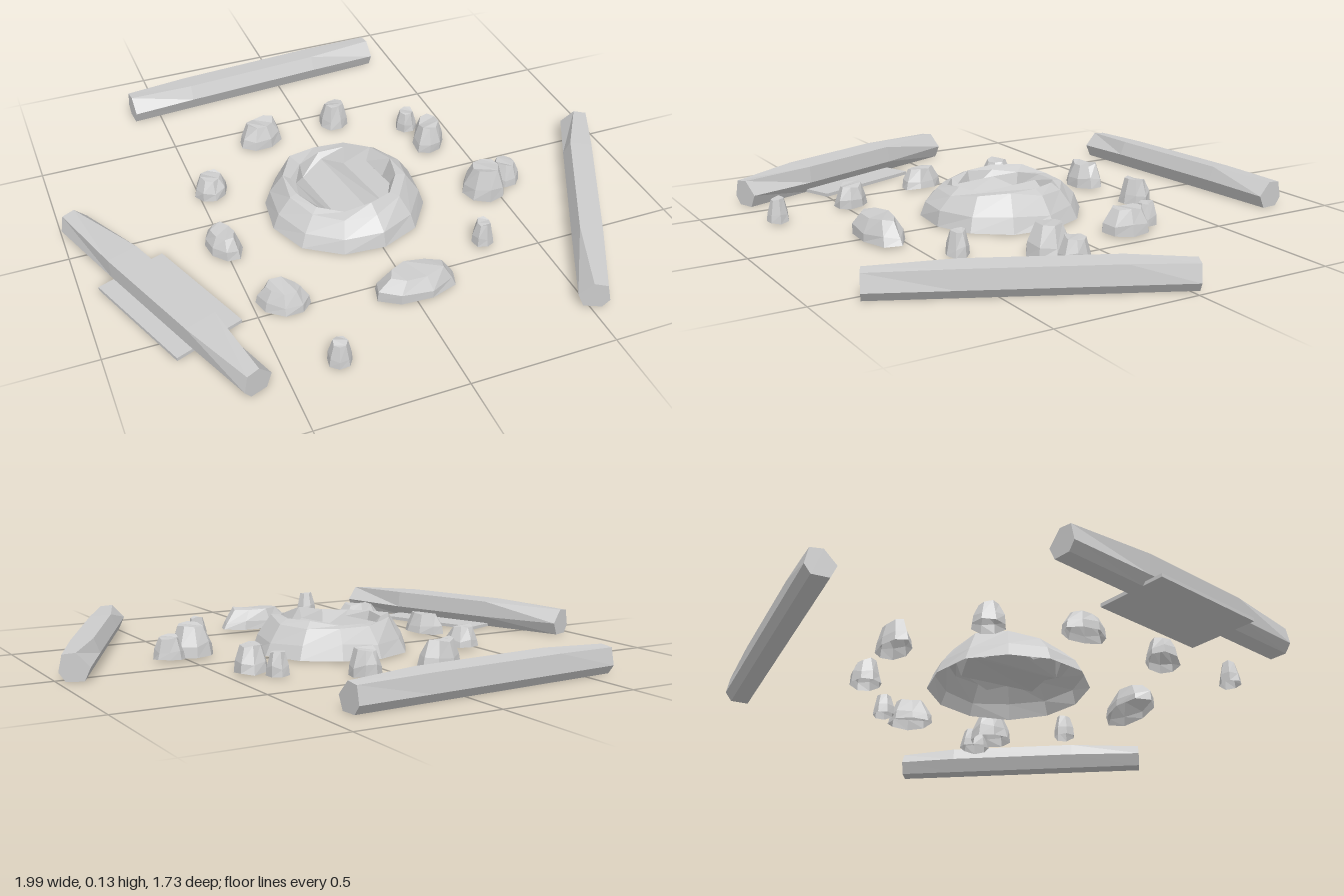
import * as THREE from 'three';

const stone = new THREE.MeshStandardMaterial({ color: 0xcccccc, side: THREE.DoubleSide });
stone.name = 'paleGrey';

// Seeded wobble in -1..1
let seed = 7;
const wobble = () => {
  seed = (seed * 16807) % 2147483647;
  return (seed / 2147483647) * 2 - 1;
};

// Joins rings of points into a faceted shell, with zigzag end caps
function loft(name, rings, capStart, capEnd) {
  const out = [];
  const tri = (...pts) => pts.forEach((p) => out.push(p.x, p.y, p.z));
  const n = rings[0].length;
  for (let i = 0; i < rings.length - 1; i++) {
    for (let j = 0; j < n; j++) {
      const k = (j + 1) % n;
      const [a, b, c, d] = [rings[i][j], rings[i][k], rings[i + 1][k], rings[i + 1][j]];
      tri(a, b, c);
      tri(a, c, d);
    }
  }
  const cap = (ring, flip) => {
    const strip = [0];
    for (let lo = 1, hi = n - 1; lo <= hi; lo++, hi--) {
      strip.push(lo);
      if (lo < hi) strip.push(hi);
    }
    for (let i = 0; i + 2 < n; i++) {
      const [a, b, c] = strip.slice(i, i + 3).map((s) => ring[s]);
      if ((i % 2 === 1) !== flip) tri(a, c, b);
      else tri(a, b, c);
    }
  };
  if (capStart) cap(rings[0], true);
  if (capEnd) cap(rings[rings.length - 1], false);
  const geometry = new THREE.BufferGeometry();
  geometry.setAttribute('position', new THREE.Float32BufferAttribute(out, 3));
  geometry.computeVertexNormals();
  const mesh = new THREE.Mesh(geometry, stone);
  mesh.name = name;
  return mesh;
}

// Hexagonal log between two ground points; its top is hewn flat between t1 and t2
const logEnd = [[-0.05, 0.045], [-0.03, 0], [0.03, 0], [0.052, 0.03], [0.04, 0.088], [-0.005, 0.093]];
const logMid = [[-0.053, 0.05], [-0.03, 0], [0.03, 0], [0.052, 0.03], [0.045, 0.093], [-0.032, 0.1]];
const logWide = [[-0.056, 0.04], [-0.03, 0], [0.03, 0], [0.056, 0.03], [0.06, 0.1], [-0.05, 0.1]];

function frame(a, b) {
  const dx = b[0] - a[0], dz = b[1] - a[1], len = Math.hypot(dx, dz);
  return (section, t) => section.map(([u, y]) => new THREE.Vector3(
    a[0] + dx * t + (u * dz) / len, y, a[1] + dz * t - (u * dx) / len));
}

function makeLog(name, a, b, mid, t1, t2) {
  const at = frame(a, b);
  return loft(name, [at(logEnd, 0), at(mid, t1), at(mid, t2), at(logEnd, 1)], true, true);
}

// Ring of points around a vertical axis
function ring(n, rx, rz, y, jitterR, jitterY) {
  return Array.from({ length: n }, (_, i) => {
    const a = ((i + 0.3) / n) * Math.PI * 2;
    const r = 1 + wobble() * jitterR;
    return new THREE.Vector3(Math.cos(a) * rx * r, y + wobble() * jitterY, -Math.sin(a) * rz * r);
  });
}

// Hollow, faceted rock
function makeRock([x, z, rx, rz, h, turn]) {
  const n = rx + rz < 0.09 ? 7 : 8;
  const rock = loft('rock', [
    ring(n, rx, rz, 0.006, 0.04, 0.004),
    ring(n, rx * 0.93, rz * 0.93, h * 0.4, 0.05, h * 0.08),
    ring(n, rx * 0.62, rz * 0.62, h * 0.92, 0.1, h * 0.07),
  ], false, true);
  rock.position.set(x, 0, z);
  rock.rotation.y = turn;
  return rock;
}

export function createModel() {
  const model = new THREE.Group();
  model.name = 'campfireCircle';

  // Logs to sit on
  model.add(makeLog('backLog', [-0.6, -0.75], [0.405, -0.818], logMid, 0.23, 0.74));
  model.add(makeLog('leftLog', [0.945, -0.04], [0.51, 0.84], logMid, 0.22, 0.72));
  const a = [-0.595, 0.8], b = [-0.95, -0.135];
  model.add(makeLog('rightLog', a, b, logWide, 0.27, 0.69));

  // Thin slab spread out under the right log
  const slab = [[-0.145, 0], [0.105, 0], [0.105, 0.012], [-0.145, 0.012]];
  const at = frame(a, b);
  model.add(loft('rightLogSlab', [at(slab, 0.264), at(slab, 0.695)], true, true));

  // Fire pit: stone rim around a jagged, sunken floor, open underneath
  const n = 12;
  const floor = ring(n, 0.165, 0.165, 0.07, 0.04, 0.01);
  floor.forEach((p, i) => { p.y += i % 2 ? 0.018 : -0.018; });
  const pit = loft('firePit', [
    ring(n, 0.282, 0.285, 0.004, 0.02, 0.003),
    ring(n, 0.262, 0.265, 0.055, 0.02, 0.008),
    ring(n, 0.218, 0.22, 0.113, 0.03, 0.018),
    ring(n, 0.185, 0.185, 0.118, 0.03, 0.012),
    floor,
  ], false, true);
  pit.position.set(-0.035, 0, 0.055);
  model.add(pit);

  // Loose rocks: x, z, half length, half width, height, turn
  const rocks = new THREE.Group();
  rocks.name = 'rocks';
  [
    [0.018, 0.555, 0.146, 0.075, 0.09, 0],
    [-0.19, -0.41, 0.085, 0.055, 0.1, 0.15],
    [0.11, -0.428, 0.057, 0.056, 0.1, 0.8],
    [0.357, -0.293, 0.04, 0.04, 0.09, 0.3],
    [0.397, -0.178, 0.085, 0.058, 0.1, 1.1],
    [0.458, 0.168, 0.075, 0.078, 0.12, 0.4],
    [0.555, 0.135, 0.055, 0.056, 0.09, 0.2],
    [0.325, 0.425, 0.04, 0.038, 0.095, 0.9],
    [-0.33, 0.775, 0.04, 0.039, 0.095, 0.5],
    [-0.405, 0.47, 0.088, 0.058, 0.085, -0.55],
    [-0.503, 0.135, 0.085, 0.056, 0.085, -1.3],
    [-0.455, -0.175, 0.06, 0.057, 0.085, 0.6],
  ].forEach((r) => rocks.add(makeRock(r)));
  model.add(rocks);
  return model;
}
